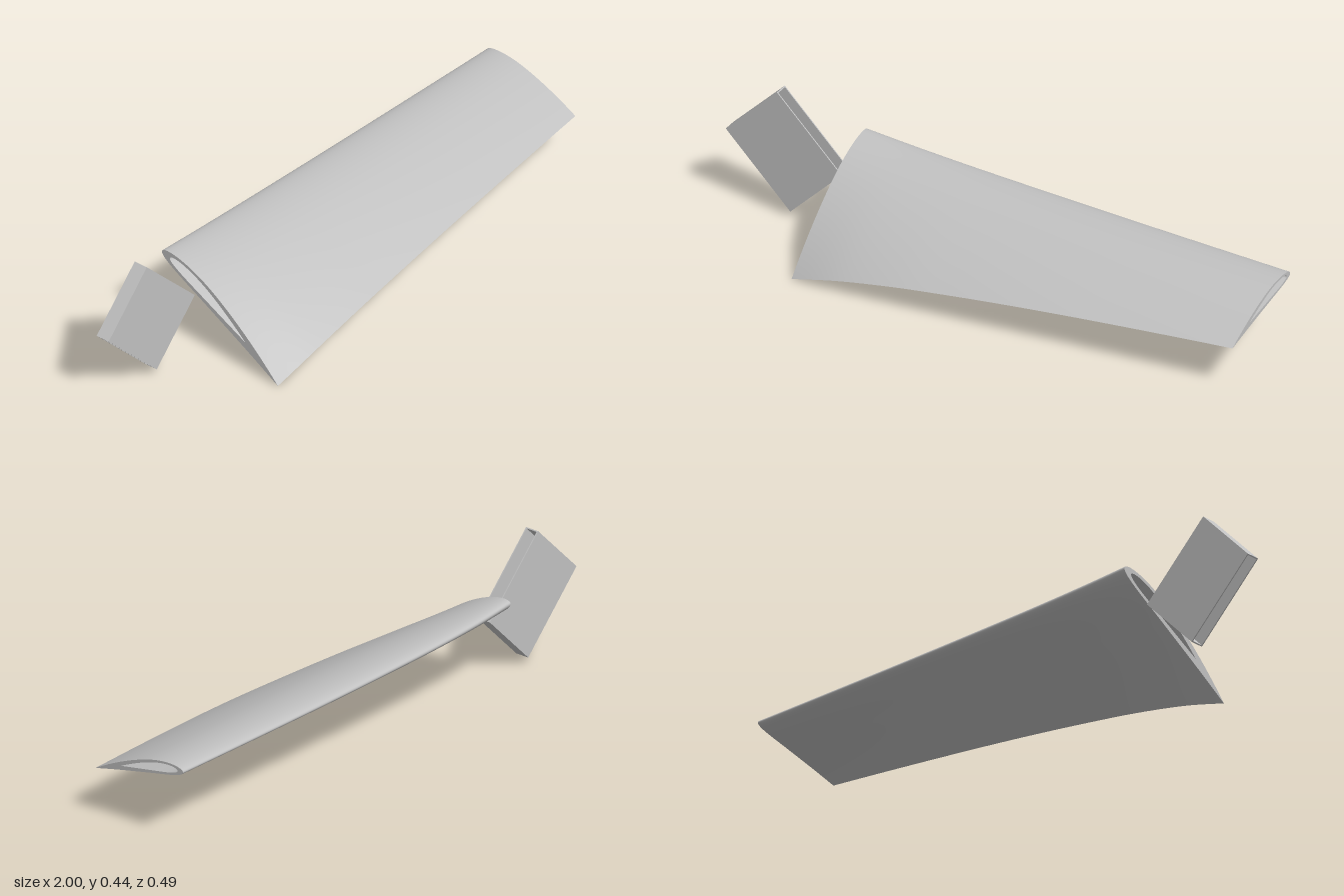
import * as THREE from 'three';

const steel = new THREE.MeshStandardMaterial({ color: 0xc0c0c0 });
steel.name = 'light grey';

// Spanwise axis the blade sections twist around
const PIVOT = { y: 0.234, z: -0.122 };
const ROOT = -0.565, TIP = 1;
const STATIONS = 48, SIDE = 40;

// Twist in degrees against span position
const TWIST = [[-0.565, 32.7], [-0.4, 26.8], [-0.2, 22.6], [0, 20.1], [0.2, 18.2],
  [0.4, 16.8], [0.6, 15.8], [0.8, 15.0], [1, 14.4]];
const twistCurve = new THREE.SplineCurve(TWIST.map(([x, a]) => new THREE.Vector2(x, a)));

// Cambered aerofoil: camber line and half thickness for a unit chord
const camber = (u) => u < 0.4
  ? 0.25 * (0.8 * u - u * u)
  : (0.04 / 0.36) * (0.2 + 0.8 * u - u * u);
const halfThickness = (u) => 0.6 * (0.2969 * Math.sqrt(u) - 0.126 * u
  - 0.3516 * u ** 2 + 0.2843 * u ** 3 - 0.1036 * u ** 4);

// Closed section running rear edge > upper > nose > lower > rear edge
function section(start, scale) {
  const points = [];
  for (let i = 0; i <= 2 * SIDE; i++) {
    const u = (1 + Math.cos((Math.PI * i) / SIDE)) / 2;
    const side = i < SIDE ? 1 : -1;
    const x = start + scale * u;
    points.push([x, camber(x) + side * scale * halfThickness(u)]);
  }
  return points;
}

// Scale, twist and place a section at span fraction t
function place(points, t) {
  const p = twistCurve.getPoint(t);
  const a = THREE.MathUtils.degToRad(p.y);
  const chord = THREE.MathUtils.mapLinear(p.x, ROOT, TIP, 0.57, 0.377);
  return points.map(([u, v]) => {
    const along = (u - 0.25) * chord, up = v * chord;
    return [p.x,
      PIVOT.y - along * Math.sin(a) + up * Math.cos(a),
      PIVOT.z + along * Math.cos(a) + up * Math.sin(a)];
  });
}

// Skin a list of equal-length rows of points
function skin(name, rows) {
  const n = rows[0].length, index = [];
  for (let r = 0; r < rows.length - 1; r++) {
    for (let i = 0; i < n - 1; i++) {
      const a = r * n + i, b = a + n;
      index.push(a, b, a + 1, a + 1, b, b + 1);
    }
  }
  const geometry = new THREE.BufferGeometry();
  geometry.setAttribute('position', new THREE.Float32BufferAttribute(rows.flat(2), 3));
  geometry.setIndex(index);
  geometry.computeVertexNormals();
  const mesh = new THREE.Mesh(geometry, steel);
  mesh.name = name;
  return mesh;
}

function rectangle(target, w, h) {
  target.moveTo(-w / 2, -h / 2);
  target.lineTo(w / 2, -h / 2);
  target.lineTo(w / 2, h / 2);
  target.lineTo(-w / 2, h / 2);
  target.closePath();
  return target;
}

export function createModel() {
  const model = new THREE.Group();
  model.name = 'hollowBlade';

  // Blade: outer skin, inner cavity and the two end rims
  const blade = new THREE.Group();
  blade.name = 'blade';
  const outerSection = section(0, 1), innerSection = section(0.06, 0.64);
  const outer = [], inner = [];
  for (let s = 0; s <= STATIONS; s++) {
    outer.push(place(outerSection, s / STATIONS));
    inner.push(place(innerSection, s / STATIONS));
  }
  blade.add(
    skin('bladeSkin', outer),
    skin('bladeCavity', [...inner].reverse()),
    skin('rootRim', [inner[0], outer[0]]),
    skin('tipRim', [outer[STATIONS], inner[STATIONS]]),
  );
  model.add(blade);

  // Flat rectangular sleeve, open at both ends, turned 45 degrees
  const length = 0.265, width = 0.334, depth = 0.05, wall = 0.004;
  const profile = rectangle(new THREE.Shape(), width, depth);
  profile.holes.push(rectangle(new THREE.Path(), width - 2 * wall, depth - 2 * wall));
  const geometry = new THREE.ExtrudeGeometry(profile, { depth: length, bevelEnabled: false });
  geometry.translate(0, 0, -length / 2);
  const k = Math.SQRT1_2;
  geometry.applyMatrix4(new THREE.Matrix4().makeBasis(
    new THREE.Vector3(k, -k, 0), new THREE.Vector3(0, 0, 1), new THREE.Vector3(-k, -k, 0)));
  const sleeve = new THREE.Mesh(geometry, steel);
  sleeve.name = 'rootSleeve';
  sleeve.position.set(-0.788, PIVOT.y, PIVOT.z);
  model.add(sleeve);

  return model;
}
